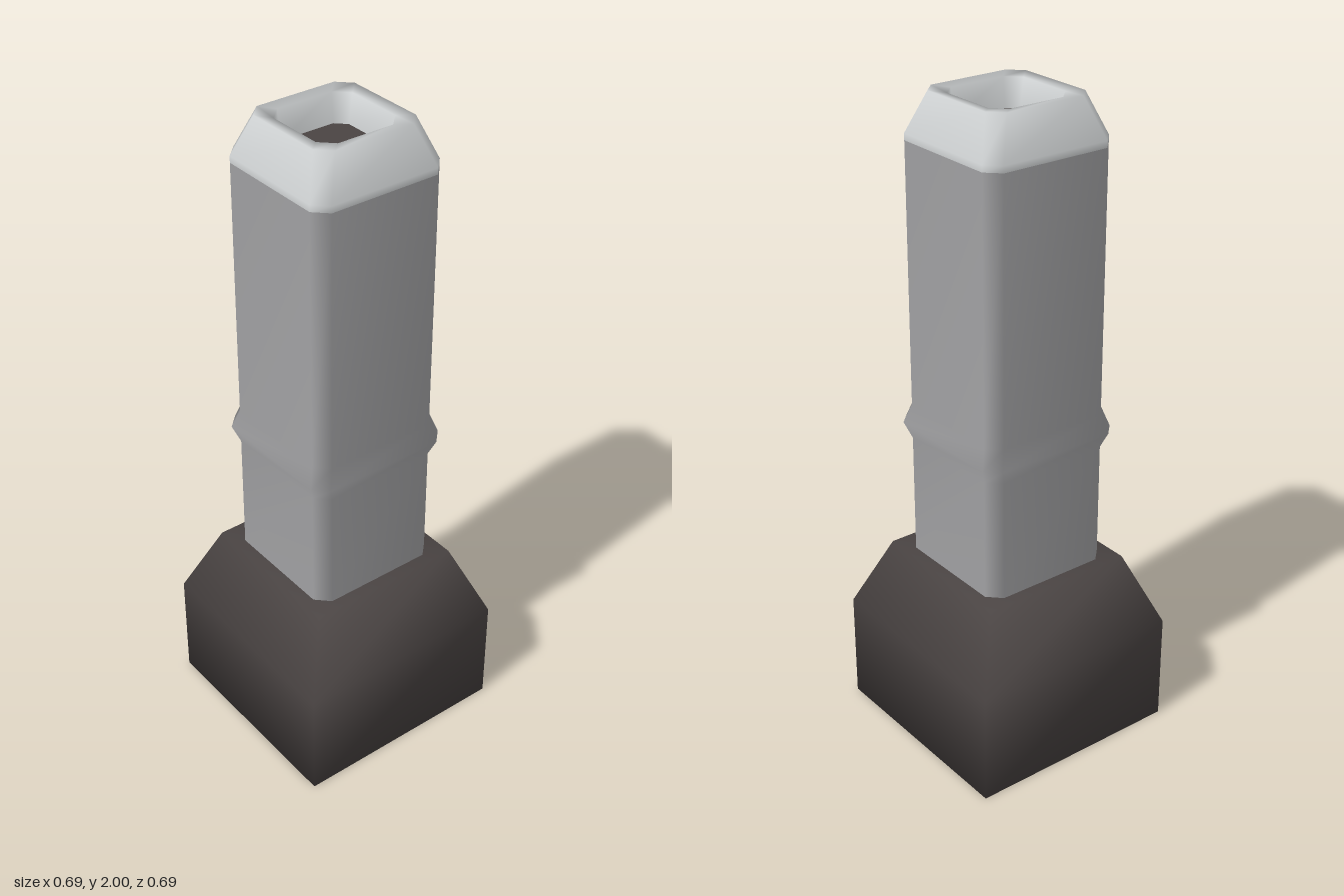
import * as THREE from 'three';

const stone = new THREE.MeshStandardMaterial({ color: 0x4a4443 });
stone.name = 'dark brown stone';
const clay = new THREE.MeshStandardMaterial({ color: 0xa0a0a2 });
clay.name = 'mid grey';
const pale = new THREE.MeshStandardMaterial({ color: 0xcccfd0 });
pale.name = 'pale grey';

// Corners of a square of half-width h with its corners cut by c, counter-clockwise seen from above
function ring(h, c) {
  const pts = [];
  for (let i = 0; i < 4; i++) {
    const a = (i * Math.PI) / 2, cos = Math.cos(a), sin = Math.sin(a);
    const corner = c > 0 ? [[h, h - c], [h - c, h]] : [[h, h]];
    for (const [x, y] of corner) pts.push([x * cos - y * sin, -(x * sin + y * cos)]);
  }
  return pts;
}

// Smooth skin through levels of [y, half-width, corner cut], with optional flat ends
function loft(name, material, levels, { bottom = false, top = false } = {}) {
  const pos = [], idx = [];
  const n = levels[0][2] > 0 ? 8 : 4;
  for (const [y, h, c] of levels) for (const [x, z] of ring(h, c)) pos.push(x, y, z);
  for (let l = 0; l < levels.length - 1; l++) {
    for (let i = 0; i < n; i++) {
      const a = l * n + i, b = l * n + ((i + 1) % n);
      idx.push(a, b, b + n, a, b + n, a + n);
    }
  }
  const last = (levels.length - 1) * n;
  for (let i = 1; i < n - 1; i++) {
    if (bottom) idx.push(0, i + 1, i);
    if (top) idx.push(last, last + i, last + i + 1);
  }
  const geo = new THREE.BufferGeometry();
  geo.setAttribute('position', new THREE.Float32BufferAttribute(pos, 3));
  geo.setIndex(idx);
  geo.computeVertexNormals();
  const mesh = new THREE.Mesh(geo, material);
  mesh.name = name;
  return mesh;
}

export function createModel() {
  const group = new THREE.Group();
  group.name = 'chimney';

  // Square base with a tapered shoulder
  group.add(loft('base', stone, [[0, 0.345, 0], [0.345, 0.345, 0], [0.57, 0.25, 0]],
    { bottom: true, top: true }));

  // Shaft with a raised band
  group.add(loft('shaft', clay, [
    [0.57, 0.215, 0.04], [0.95, 0.215, 0.04], [1.0, 0.234, 0.04],
    [1.06, 0.215, 0.04], [1.86, 0.215, 0.04],
  ]));

  // Sloped cap, folding over the rim and down into the flue
  group.add(loft('cap', pale, [
    [1.86, 0.215, 0.04], [1.88, 0.215, 0.04], [2.0, 0.168, 0.04],
    [1.995, 0.13, 0.04], [1.91, 0.115, 0.03],
  ]));

  // Dark floor of the flue
  const floor = new THREE.Mesh(
    new THREE.ShapeGeometry(new THREE.Shape(ring(0.115, 0.03).map(([x, z]) => new THREE.Vector2(x, -z)))),
    stone);
  floor.rotation.x = -Math.PI / 2;
  floor.position.y = 1.91;
  floor.name = 'flueFloor';
  group.add(floor);

  return group;
}
